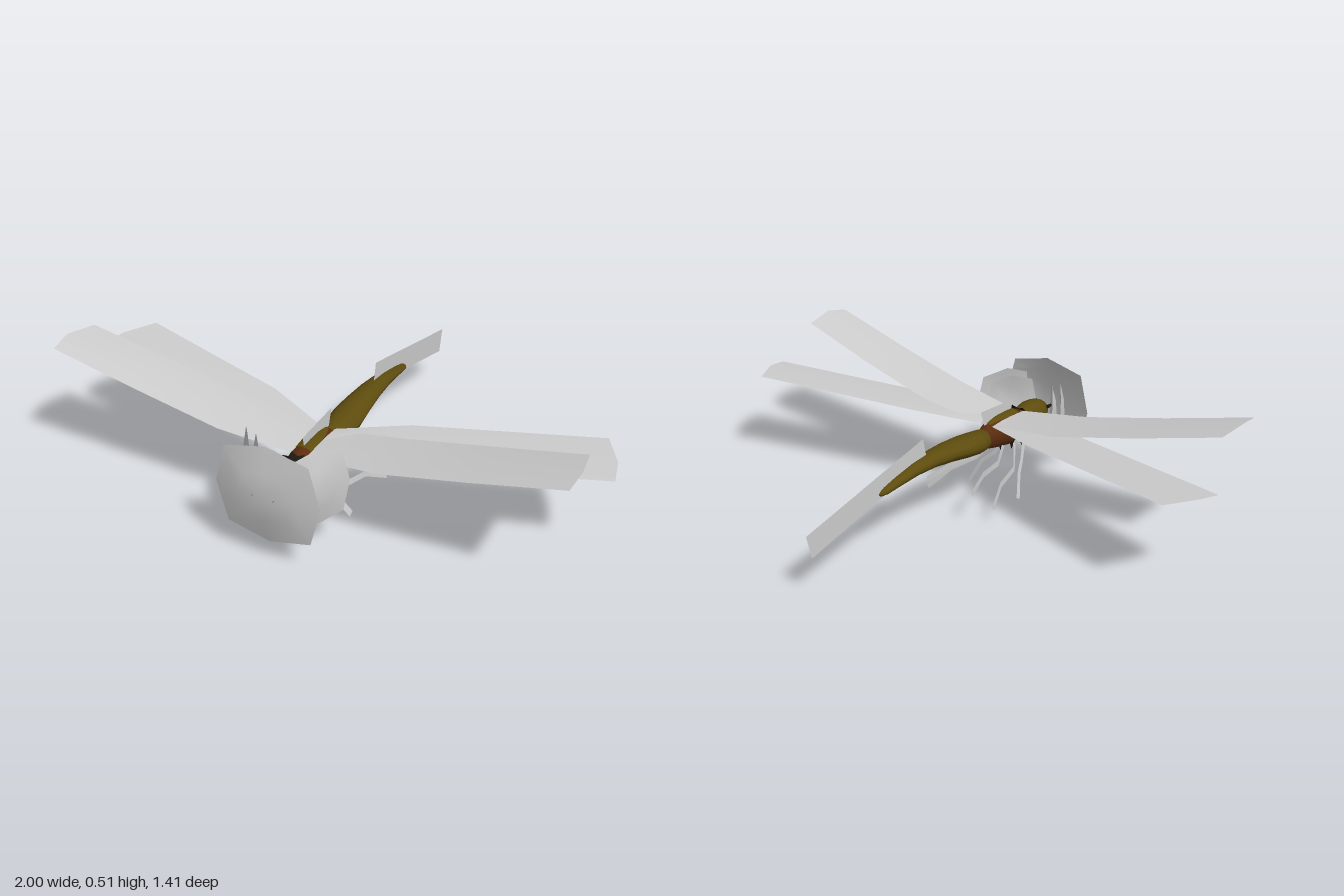
import * as THREE from 'three';

const mat = (name, color, side = THREE.FrontSide) => {
  const m = new THREE.MeshStandardMaterial({ color, side });
  m.name = name;
  return m;
};

// Smooth indexed geometry from points and triangle indices
function surface(points, index) {
  const g = new THREE.BufferGeometry();
  g.setAttribute('position', new THREE.Float32BufferAttribute(points.flat(), 3));
  g.setIndex(index);
  g.computeVertexNormals();
  return g;
}

// Grid of equal-length rows
function rows(list) {
  const n = list[0].length, index = [];
  for (let i = 0; i < list.length - 1; i++)
    for (let j = 0; j < n - 1; j++) {
      const a = i * n + j, b = a + n;
      index.push(a, b, a + 1, b, b + 1, a + 1);
    }
  return surface(list.flat(), index);
}

// Elliptical sections [z, y, rx, ry], from front to back
const loft = (rings, a0 = 0, a1 = Math.PI * 2, n = 12) =>
  rows(rings.map(([z, y, rx, ry]) => Array.from({ length: n + 1 }, (_, j) => {
    const a = a0 + (a1 - a0) * j / n;
    return [Math.cos(a) * rx, y + Math.sin(a) * ry, z];
  })));

// Shallow eight-sided dome bulging to +z
function dome(rx, ry, corner, depth) {
  const pts = [[0, 0, depth]], index = [], rings = [0.5, 1];
  for (const t of rings)
    for (let k = 0; k < 8; k++) {
      const a = k * Math.PI / 4, c = k % 2 ? corner : 1;
      pts.push([Math.cos(a) * rx * c * t, Math.sin(a) * ry * c * t, depth * (1 - t * t)]);
    }
  for (let k = 0; k < 8; k++) {
    const a = 1 + k, b = 1 + (k + 1) % 8;
    index.push(0, a, b, a, a + 8, b, b, a + 8, b + 8);
  }
  return surface(pts, index);
}

// Flat strip of given width following a path of [x, y, z], upright in the side plane
function strip(path, width) {
  const up = [], down = [];
  path.forEach((p, i) => {
    const a = path[Math.max(i - 1, 0)], b = path[Math.min(i + 1, path.length - 1)];
    const dy = b[1] - a[1], dz = b[2] - a[2], l = Math.hypot(dy, dz);
    const oy = -dz / l * width / 2, oz = dy / l * width / 2;
    up.push([p[0], p[1] + oy, p[2] + oz]);
    down.push([p[0], p[1] - oy, p[2] - oz]);
  });
  return rows([up, down]);
}

export function createModel() {
  const group = new THREE.Group();
  const pale = mat('pale membrane', 0xcccccc, THREE.DoubleSide);
  const olive = mat('olive', 0x5e4c0e);
  const brown = mat('red brown', 0x5e2e10);
  const dark = mat('dark bristle', 0x1e1912, THREE.DoubleSide);
  const add = (name, geometry, material, parent = group) => {
    const m = new THREE.Mesh(geometry, material);
    m.name = name;
    parent.add(m);
    return m;
  };

  // Body
  add('head', loft([[0.645, 0.25, 0.001, 0.001], [0.638, 0.25, 0.036, 0.036], [0.60, 0.25, 0.048, 0.052],
    [0.55, 0.25, 0.055, 0.055], [0.51, 0.25, 0.046, 0.046], [0.47, 0.25, 0.03, 0.03]]), olive);
  const thorax = [[0.485, 0.25, 0.001, 0.001], [0.475, 0.25, 0.045, 0.05], [0.44, 0.248, 0.056, 0.062],
    [0.39, 0.247, 0.06, 0.066], [0.33, 0.25, 0.048, 0.062], [0.28, 0.25, 0.036, 0.052],
    [0.25, 0.247, 0.026, 0.035], [0.24, 0.247, 0.001, 0.001]];
  add('thorax', loft(thorax), brown);
  add('thoraxPatch', loft(thorax.slice(2, 6).map(([z, y, rx, ry], i) =>
    [z, y, (rx + 0.003) * (i === 3 ? 0.5 : 1), ry + 0.004]), Math.PI * 0.33, Math.PI * 0.67, 6), olive);
  add('abdomen', loft([[0.265, 0.245, 0.001, 0.001], [0.255, 0.246, 0.04, 0.041], [0.20, 0.25, 0.055, 0.042],
    [0.13, 0.259, 0.061, 0.04], [0.04, 0.27, 0.052, 0.036], [-0.06, 0.276, 0.043, 0.029],
    [-0.16, 0.272, 0.034, 0.024], [-0.25, 0.26, 0.028, 0.018], [-0.315, 0.248, 0.022, 0.013],
    [-0.335, 0.243, 0.012, 0.008], [-0.34, 0.243, 0.001, 0.001]]), olive);

  // Jagged collar between head and thorax
  const spikes = 20;
  const ring = (r, z, jag) => Array.from({ length: spikes + 1 }, (_, j) => {
    const a = j / spikes * Math.PI * 2, k = r * (j % 2 ? jag : 1);
    return [Math.cos(a) * k, 0.243 + Math.sin(a) * k * 0.88, z];
  });
  add('collar', rows([ring(0.045, 0.51, 1), ring(0.08, 0.475, 0.78)]), dark);

  // Face shields
  add('frontShield', dome(0.195, 0.185, 1.13, 0.03), pale).position.set(0, 0.265, 0.675);
  add('rearShield', dome(0.165, 0.16, 1.13, 0.022), pale).position.set(0, 0.262, 0.643);

  // Upright membranes on the centre line
  add('tailMembrane', rows([[[0, 0.37, -0.10], [0, 0.23, -0.70]], [[0, 0.285, -0.08], [0, 0.14, -0.677]]]), pale);
  add('backMembrane', rows([[[0, 0.35, 0.44], [0, 0.36, 0.24]], [[0, 0.29, 0.43], [0, 0.30, 0.26]]]), pale);

  // Wings: leading edge, middle, trailing edge from root to tip
  const foreWing = [
    [[0.03, 0.30, 0.47], [0.30, 0.335, 0.50], [0.62, 0.41, 0.514], [0.95, 0.495, 0.53]],
    [[0.03, 0.305, 0.38], [0.30, 0.345, 0.38], [0.62, 0.42, 0.40], [0.96, 0.51, 0.44]],
    [[0.03, 0.30, 0.28], [0.30, 0.335, 0.265], [0.62, 0.41, 0.285], [0.94, 0.492, 0.313]]];
  const hindWing = [
    [[0.03, 0.30, 0.43], [0.27, 0.302, 0.405], [0.65, 0.322, 0.30], [1.0, 0.343, 0.20]],
    [[0.03, 0.305, 0.34], [0.27, 0.318, 0.28], [0.62, 0.338, 0.20], [0.98, 0.356, 0.11]],
    [[0.03, 0.30, 0.27], [0.27, 0.325, 0.165], [0.60, 0.343, 0.075], [0.91, 0.36, 0.01]]];
  hindWing[2][3][2] = -0.01;

  // Legs as centre paths
  const legs = {
    frontLeg: [[0.04, 0.185, 0.47], [0.065, 0.115, 0.42], [0.09, 0.09, 0.37], [0.12, 0.006, 0.325]],
    middleLeg: [[0.04, 0.19, 0.405], [0.09, 0.12, 0.335], [0.12, 0.108, 0.21], [0.155, 0.055, 0.115]],
    hindLeg: [[0.03, 0.20, 0.345], [0.055, 0.153, 0.28], [0.075, 0.155, 0.16], [0.105, 0.126, 0.05]]
  };

  for (const [side, s] of [['left', 1], ['right', -1]]) {
    const half = new THREE.Group();
    half.name = side + 'Side';
    group.add(half);
    const flip = p => [p[0] * s, p[1], p[2]];
    // Reversed row order keeps the upper faces outward on both sides
    const wing = w => rows((s > 0 ? [...w].reverse() : w).map(r => r.map(flip)));
    add(side + 'ForeWing', wing(foreWing), pale, half);
    add(side + 'HindWing', wing(hindWing), pale, half);
    for (const [name, path] of Object.entries(legs)) {
      add(side + name[0].toUpperCase() + name.slice(1), strip(path.map(flip), 0.024), pale, half);
      const hip = add(side + 'Hip', new THREE.ConeGeometry(0.014, 0.05, 6), dark, half);
      hip.rotation.x = Math.PI;
      hip.position.set(path[0][0] * 0.85 * s, path[0][1], path[0][2] - 0.01);
    }
    // Nested side shields facing outward and forward
    [[0.125, 0.58, 0.125, 0.14], [0.095, 0.57, 0.105, 0.12]].forEach(([x, z, rx, ry], i) => {
      const shield = add(side + (i ? 'InnerEyeShield' : 'OuterEyeShield'), dome(rx, ry, 1.13, 0.022), pale, half);
      shield.position.set(x * s, 0.267, z);
      shield.rotation.y = s * 0.95;
    });
    // Feelers just piercing the front shield
    const feeler = add(side + 'Feeler', new THREE.ConeGeometry(0.008, 0.085, 6), dark, half);
    feeler.rotation.x = Math.PI / 2;
    feeler.position.set(0.04 * s, 0.27, 0.668);
  }
  return group;
}
